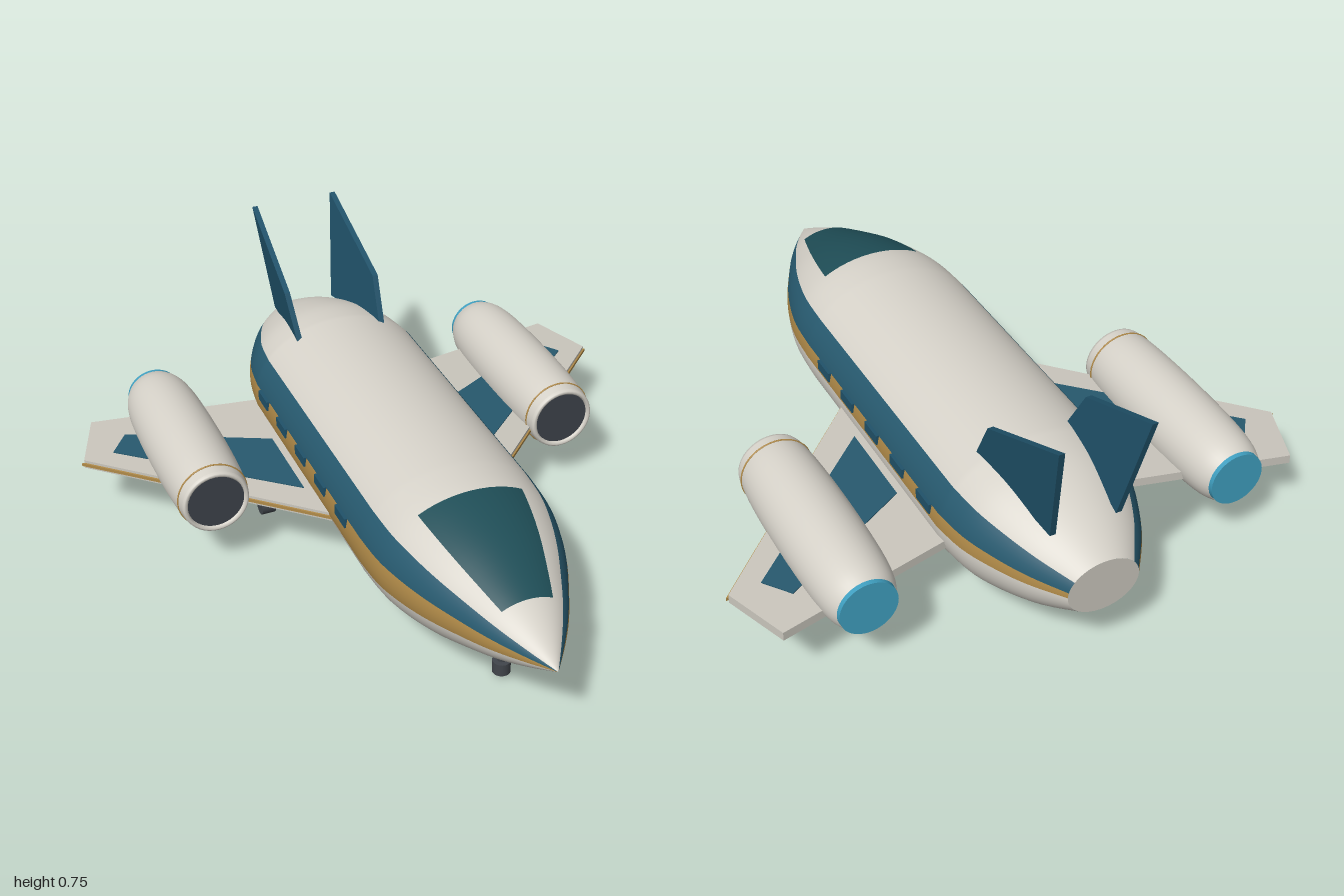
import * as THREE from 'three';

const mat = (color, side = THREE.FrontSide) => new THREE.MeshStandardMaterial({ color, side });
const hull = mat(0xd6d2c9), wingGrey = mat(0xcac6bd), teal = mat(0x27596e), glass = mat(0x1f4e57);
const finTeal = mat(0x20526a), gold = mat(0xb08a48), dark = mat(0x41454b), intake = mat(0x3c424a), glow = mat(0x3f9fc0);

const WIDTH = 0.29, HEIGHT = 0.225, MID = 0.275;
const DEG = Math.PI / 180;

function add(parent, name, geometry, material, x = 0, y = 0, z = 0) {
  const mesh = new THREE.Mesh(geometry, material);
  mesh.name = name;
  mesh.position.set(x, y, z);
  parent.add(mesh);
  return mesh;
}

// Surface of revolution along z from [radius, z] pairs, over a range of angles (0 = down, 90 = +x)
function turned(points, segments = 32, from = 0, sweep = 360) {
  const pts = points.map(p => (p.isVector2 ? p : new THREE.Vector2(...p)));
  return new THREE.LatheGeometry(pts, segments, from * DEG, sweep * DEG).rotateX(Math.PI / 2);
}

// Flat slab from an outline; the second outline coordinate is -z when laid out
function slab(outline, thickness) {
  const shape = new THREE.Shape(outline.map(p => new THREE.Vector2(...p)));
  return new THREE.ExtrudeGeometry(shape, { depth: thickness, bevelEnabled: false }).translate(0, 0, -thickness / 2);
}

// Round bar between two points
function bar(parent, name, a, b, radius, material) {
  const start = new THREE.Vector3(...a), end = new THREE.Vector3(...b);
  const dir = end.clone().sub(start);
  const mesh = add(parent, name, new THREE.CylinderGeometry(radius, radius, dir.length(), 12), material);
  mesh.position.copy(start).add(end).multiplyScalar(0.5);
  mesh.quaternion.setFromUnitVectors(new THREE.Vector3(0, 1, 0), dir.normalize());
  return mesh;
}

// Fuselage radius profile from tail to nose
const bodyCurve = [
  ...new THREE.SplineCurve([[0.38, -1], [0.63, -0.9], [0.81, -0.8], [0.94, -0.7], [1, -0.59]]
    .map(p => new THREE.Vector2(...p))).getPoints(16),
  ...new THREE.SplineCurve([[1, 0.3], [0.97, 0.42], [0.89, 0.52], [0.77, 0.62], [0.61, 0.72], [0.43, 0.82], [0.23, 0.91], [0, 1]]
    .map(p => new THREE.Vector2(...p))).getPoints(28)
];
bodyCurve[bodyCurve.length - 1].x = 0;

function buildFuselage(root) {
  const group = new THREE.Group();
  group.name = 'fuselage';
  group.position.y = MID;
  root.add(group);
  const step = 11.25;
  // Painted bands: name, material, first angle, number of steps
  const bands = [
    ['belly', hull, -78.75, 15], ['leftGoldStripe', gold, 90, 1], ['leftTealStripe', teal, 101.25, 2],
    ['roof', hull, 123.75, 10], ['rightTealStripe', teal, 236.25, 2], ['rightGoldStripe', gold, 258.75, 2]
  ];
  for (const [name, material, from, n] of bands)
    add(group, name, turned(bodyCurve, n * 2, from, n * step).scale(WIDTH, HEIGHT, 1), material);
  add(group, 'tailCap', new THREE.CircleGeometry(0.38, 32).rotateY(Math.PI).scale(WIDTH, HEIGHT, 1), wingGrey, 0, 0, -1);

  // Windscreen follows the nose, slightly raised
  const radiusAt = z => {
    const i = bodyCurve.findIndex(p => p.y >= z), a = bodyCurve[i - 1], b = bodyCurve[i];
    return a.x + (b.x - a.x) * (z - a.y) / (b.y - a.y);
  };
  const screen = [];
  for (let i = 0; i <= 12; i++) {
    const z = 0.44 + 0.37 * i / 12;
    screen.push([radiusAt(z) + 0.012, z]);
  }
  add(group, 'windscreen', turned(screen, 12, 180 - 35, 70).scale(WIDTH, HEIGHT, 1), glass);
}

function buildWing(root, s) {
  const group = new THREE.Group();
  group.name = s > 0 ? 'leftWing' : 'rightWing';
  root.add(group);
  // Lay flat, then droop towards the tip
  const droop = new THREE.Matrix4().set(1, 0, 0, 0, -0.035 * s, 1, 0, 0.237, 0, 0, 1, 0, 0, 0, 0, 1);
  const lay = (outline, thickness, lift) => slab(outline.map(([x, z]) => [x * s, -z]), thickness)
    .rotateX(-Math.PI / 2).translate(0, lift, 0).applyMatrix4(droop);
  add(group, 'wingPanel', lay([[0.2, 0.15], [0.29, 0.055], [0.885, -0.53], [0.81, -0.73], [0.2, -0.605]], 0.028, 0), wingGrey);
  add(group, 'wingPaint', lay([[0.31, -0.09], [0.79, -0.53], [0.73, -0.61], [0.31, -0.38]], 0.004, 0.015), teal);
  add(group, 'leadingEdge', lay([[0.28, 0.072], [0.893, -0.53], [0.883, -0.53], [0.28, 0.06]], 0.01, 0), gold);
}

function buildEngine(root, s) {
  const group = new THREE.Group();
  group.name = s > 0 ? 'leftEngine' : 'rightEngine';
  group.position.set(0.583 * s, 0.253, 0);
  root.add(group);
  const curve = new THREE.SplineCurve([[0.088, -0.765], [0.104, -0.72], [0.114, -0.64], [0.119, -0.5], [0.119, -0.34], [0.114, -0.2], [0.105, -0.115]]
    .map(p => new THREE.Vector2(...p))).getPoints(24);
  add(group, 'nacelle', turned(curve, 40), hull);
  add(group, 'intakeLip', turned([[0.105, -0.115], [0.102, -0.106], [0.096, -0.104], [0.09, -0.108], [0.088, -0.125]], 40), hull);
  add(group, 'intakeFan', new THREE.CircleGeometry(0.09, 40), intake, 0, 0, -0.114);
  add(group, 'trimRing', new THREE.TorusGeometry(0.109, 0.003, 8, 40), gold, 0, 0, -0.147);
  add(group, 'exhaust', new THREE.CylinderGeometry(0.087, 0.086, 0.02, 40).rotateX(Math.PI / 2), glow, 0, 0, -0.768);
}

function buildFin(root, s) {
  // Upright slab, leaning outward at the top and toed in at the back
  const outline = [[0.555, 0.46], [0.635, 0.605], [0.975, 0.755], [0.895, 0.41]];
  const lean = new THREE.Matrix4().set(1, 0.125 * s, 0.1 * s, 0.14 * s, 0, 1, 0, 0, 0, 0, 1, 0, 0, 0, 0, 1);
  add(root, s > 0 ? 'leftTailFin' : 'rightTailFin',
    slab(outline, 0.018).rotateY(Math.PI / 2).applyMatrix4(lean), finTeal);
}

function buildMainGear(root, s) {
  const group = new THREE.Group();
  group.name = s > 0 ? 'leftMainGear' : 'rightMainGear';
  root.add(group);
  const z = -0.375;
  bar(group, 'strut', [0.265 * s, 0.155, z], [0.355 * s, 0.04, z], 0.013, dark);
  bar(group, 'axle', [0.357 * s, 0.035, z - 0.042], [0.357 * s, 0.035, z + 0.042], 0.011, dark);
  for (const dz of [-0.042, 0.042])
    add(group, 'wheel', new THREE.CylinderGeometry(0.031, 0.031, 0.045, 20).rotateZ(Math.PI / 2), dark, 0.357 * s, 0.032, z + dz);
}

export function createModel() {
  const model = new THREE.Group();
  model.name = 'spaceplane';
  buildFuselage(model);

  for (const s of [1, -1]) {
    buildWing(model, s);
    buildEngine(model, s);
    buildFin(model, s);
    buildMainGear(model, s);
    // Cabin windows along the gold stripe
    for (let i = 0; i < 5; i++)
      add(model, 'cabinWindow', new THREE.BoxGeometry(0.02, 0.032, 0.08), finTeal, 0.284 * s, 0.305, 0.17 - 0.17 * i);
  }

  // Nose gear
  bar(model, 'noseStrut', [0, 0.15, 0.67], [0, 0.04, 0.67], 0.012, dark);
  add(model, 'noseWheel', new THREE.CylinderGeometry(0.027, 0.027, 0.04, 20), dark, 0, 0.034, 0.67);
  return model;
}
